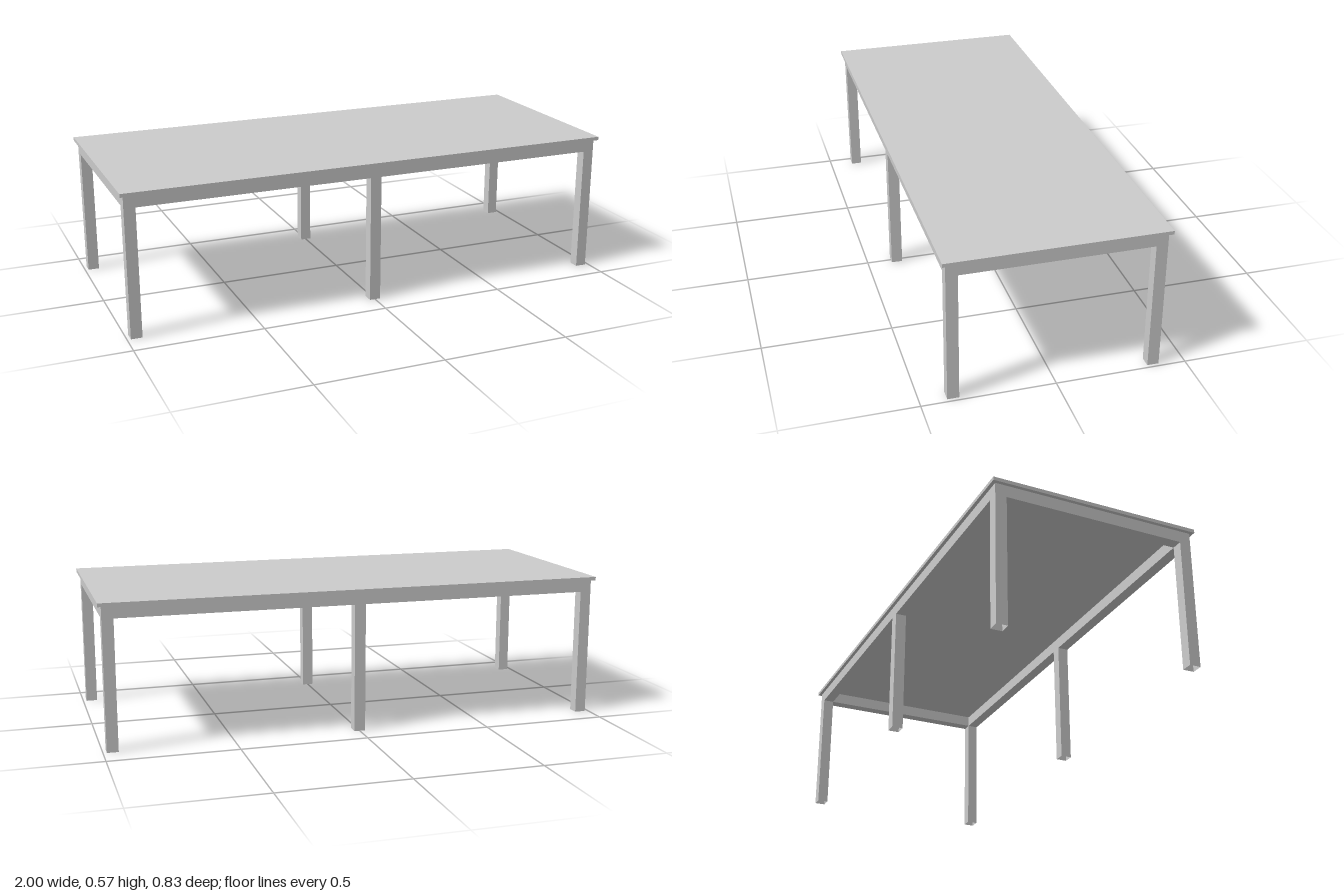
import * as THREE from 'three';

const LEG = 0.044, OUT_X = 0.986, OUT_Z = 0.401;
const RAIL_Y = 0.506, TOP_Y = 0.553, HEIGHT = 0.567;

export function createModel() {
  const group = new THREE.Group();
  const grey = new THREE.MeshStandardMaterial({ color: 0xcccccc, flatShading: true });
  const greyOpen = grey.clone();
  greyOpen.side = THREE.DoubleSide;

  const add = (name, geometry, material, x, y, z) => {
    const mesh = new THREE.Mesh(geometry, material);
    mesh.name = name;
    mesh.position.set(x, y, z);
    group.add(mesh);
    return mesh;
  };

  // Thin table top, overhanging the frame on all sides
  add('tableTop', new THREE.BoxGeometry(2, HEIGHT - TOP_Y, 0.829), grey, 0, (TOP_Y + HEIGHT) / 2, 0);

  // Long rails run the full length; short rails fit between them
  const railH = TOP_Y - RAIL_Y, railY = (TOP_Y + RAIL_Y) / 2;
  const legX = OUT_X - LEG / 2, legZ = OUT_Z - LEG / 2;
  const longRail = new THREE.BoxGeometry(2 * OUT_X, railH, LEG);
  const shortRail = new THREE.BoxGeometry(LEG, railH, 2 * (OUT_Z - LEG));
  add('frontRail', longRail, grey, 0, railY, legZ);
  add('backRail', longRail, grey, 0, railY, -legZ);
  add('leftRail', shortRail, grey, legX, railY, 0);
  add('rightRail', shortRail, grey, -legX, railY, 0);

  // Six hollow square legs, open at the foot
  const radius = LEG / Math.SQRT2;
  const leg = new THREE.CylinderGeometry(radius, radius, RAIL_Y, 4, 1, true);
  leg.rotateY(Math.PI / 4);
  for (const [row, z] of [['front', legZ], ['back', -legZ]]) {
    for (const [side, x] of [['Left', legX], ['Middle', 0], ['Right', -legX]]) {
      add(`${row}${side}Leg`, leg, greyOpen, x, RAIL_Y / 2, z);
    }
  }
  return group;
}
